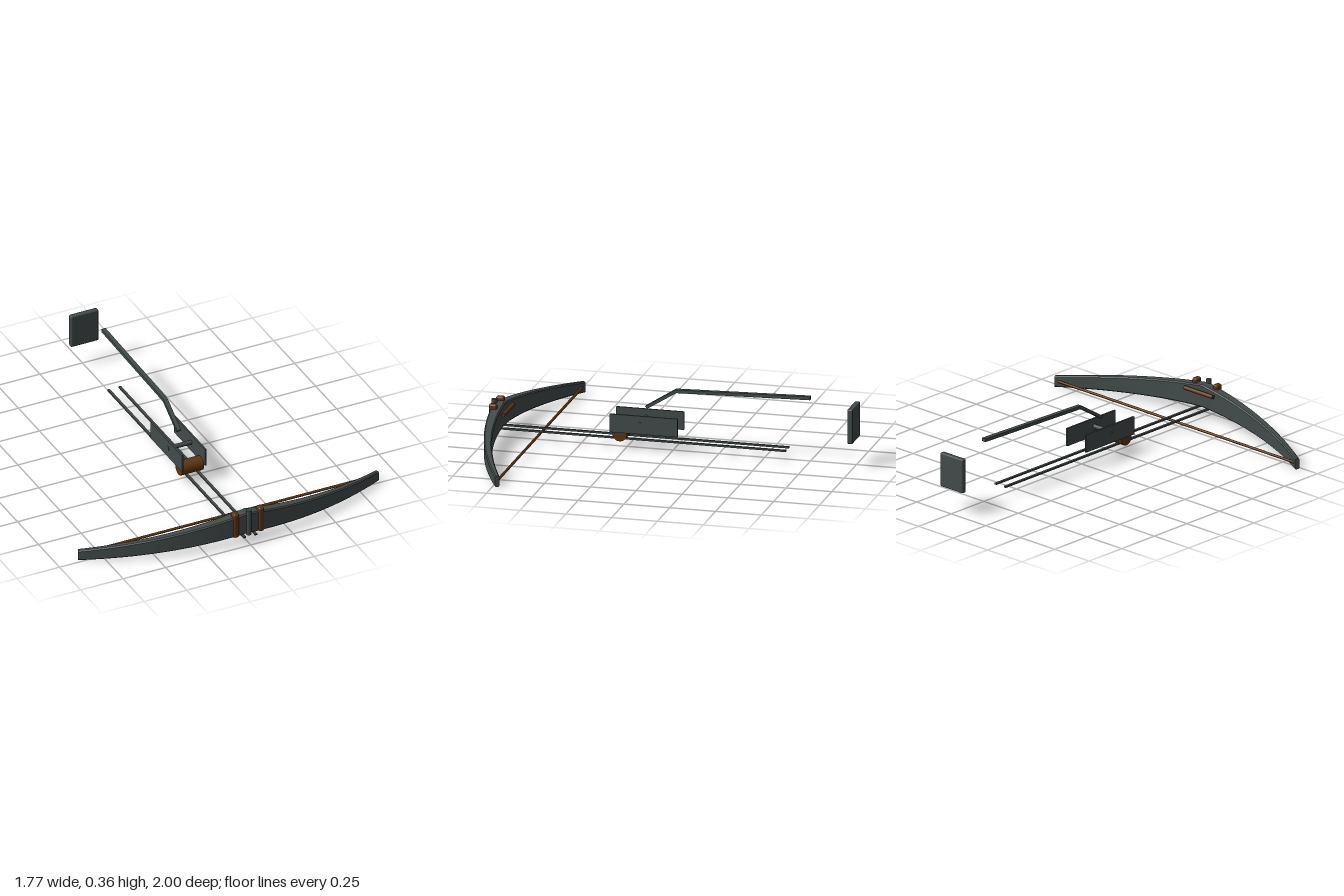
import * as THREE from 'three';
import { toCreasedNormals } from 'three/addons/utils/BufferGeometryUtils.js';
import { RoundedBoxGeometry } from 'three/addons/geometries/RoundedBoxGeometry.js';

const steel = new THREE.MeshStandardMaterial({ color: 0x434b4b });
steel.name = 'dark steel';
const wood = new THREE.MeshStandardMaterial({ color: 0x5e3510 });
wood.name = 'brown wood';

// Curved, tapering bow limbs: a chamfered cross-section swept along x
function bowGeometry() {
  const steps = 40, sides = 8, half = 0.878;
  const pos = [], index = [];
  for (let i = 0; i <= steps; i++) {
    const x = -half + (2 * half * i) / steps;
    const t = Math.abs(x) / half;
    const zMid = 0.949 - 0.225 * t * t;
    const angle = Math.atan(-0.45 * x / (half * half));
    const depth = 0.03 - 0.017 * t;
    const top = 0.192 - 0.127 * t, bottom = 0.066 - 0.061 * t;
    const c = 0.006;
    const section = [
      [depth - c, bottom], [c - depth, bottom], [-depth, bottom + c], [-depth, top - c],
      [c - depth, top], [depth - c, top], [depth, top - c], [depth, bottom + c],
    ];
    for (const [d, y] of section) {
      pos.push(x - Math.sin(angle) * d, y, zMid + Math.cos(angle) * d);
    }
  }
  for (let i = 0; i < steps; i++) {
    for (let j = 0; j < sides; j++) {
      const k = (j + 1) % sides;
      const a = i * sides + j, b = i * sides + k;
      index.push(a, b, b + sides, a, b + sides, a + sides);
    }
  }
  const last = steps * sides;
  for (let j = 1; j < sides - 1; j++) {
    index.push(last, last + j, last + j + 1, 0, j + 1, j);
  }
  const g = new THREE.BufferGeometry();
  g.setAttribute('position', new THREE.Float32BufferAttribute(pos, 3));
  g.setIndex(index);
  return toCreasedNormals(g, 0.5);
}

// Lever: a bent side profile (z, y) given a width across x
function leverGeometry() {
  const outline = [
    [0.14, 0.224], [0.15, 0.238], [-0.014, 0.342], [-0.75, 0.362], [-0.75, 0.343], [-0.02, 0.324],
  ];
  const shape = new THREE.Shape(outline.map(([z, y]) => new THREE.Vector2(-z, y)));
  const g = new THREE.ExtrudeGeometry(shape, { depth: 0.024, bevelEnabled: false });
  return g.translate(0, 0, -0.012).rotateY(Math.PI / 2);
}

export function createModel() {
  const model = new THREE.Group();
  model.name = 'crossbowParts';

  const add = (name, geometry, material, x = 0, y = 0, z = 0) => {
    const mesh = new THREE.Mesh(geometry, material);
    mesh.name = name;
    mesh.position.set(x, y, z);
    model.add(mesh);
    return mesh;
  };
  const crossBar = (r, length) => new THREE.CylinderGeometry(r, r, length, 24).rotateZ(Math.PI / 2);

  // Bow, string and mount
  add('bow', bowGeometry(), steel);
  add('bowString', crossBar(0.007, 1.73), wood, 0, 0.038, 0.726);
  add('bowBackBar', crossBar(0.011, 0.205), wood, 0, 0.155, 0.9);
  add('bowCentrePin', new THREE.CylinderGeometry(0.015, 0.015, 0.15, 16), steel, 0, 0.135, 0.975);

  // Paired parts on both sides
  for (const s of [-1, 1]) {
    add('bowStrap', new RoundedBoxGeometry(0.032, 0.146, 0.044, 3, 0.01), wood, s * 0.074, 0.132, 0.962);
    add('rail', new THREE.BoxGeometry(0.014, 0.009, 1.622), steel, s * 0.033, 0.06, 0.187);
    add('sidePlate', new THREE.BoxGeometry(0.01, 0.1, 0.37), steel, s * 0.068, 0.15, 0.143);
  }

  // Trigger housing
  add('crossPin', crossBar(0.0125, 0.15), steel, 0, 0.155, 0.165);
  add('roller', crossBar(0.04, 0.13), wood, 0, 0.09, 0.275);

  // Lever and butt plate
  add('lever', leverGeometry(), steel);
  add('buttPlate', new RoundedBoxGeometry(0.162, 0.19, 0.03, 3, 0.007), steel, 0, 0.235, -0.985);

  return model;
}
